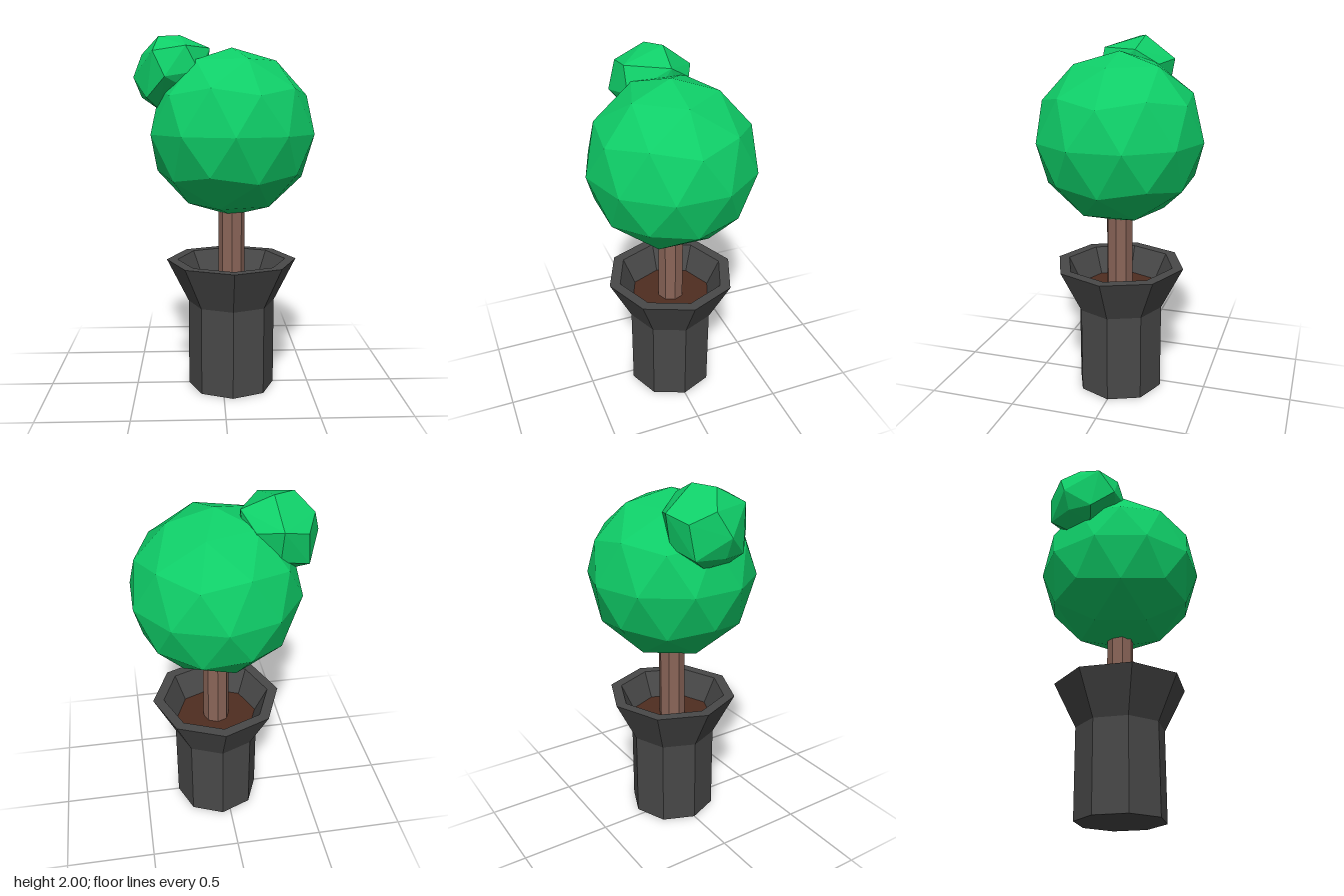
import * as THREE from 'three';
import { ConvexGeometry } from 'three/addons/geometries/ConvexGeometry.js';

const AXIS_X = 0.05; // the trunk and pot stand slightly off centre

function material(name, color) {
  const m = new THREE.MeshStandardMaterial({ color });
  m.name = name;
  return m;
}

// one normal per face, for the faceted look
function faceted(geometry) {
  const g = geometry.index ? geometry.toNonIndexed() : geometry;
  g.computeVertexNormals();
  return g;
}

export function createModel() {
  const model = new THREE.Group();
  model.name = 'pottedTree';

  const leafGreen = material('leafGreen', 0x0fce68);
  const barkBrown = material('barkBrown', 0x8a6558);
  const potGrey = material('potGrey', 0x484848);
  const soilBrown = material('soilBrown', 0x4f2d20);

  function add(name, geometry, mat, x = 0, y = 0) {
    const mesh = new THREE.Mesh(faceted(geometry), mat);
    mesh.name = name;
    mesh.position.set(x, y, 0);
    model.add(mesh);
  }

  // pot: straight octagonal body, flared neck, rim and sloping inside wall
  const potProfile = [
    [0, 0], [0.247, 0], [0.247, 0.5], [0.37, 0.745], [0.308, 0.745], [0.228, 0.585],
  ].map(([r, y]) => new THREE.Vector2(r, y));
  add('pot', new THREE.LatheGeometry(potProfile, 8), potGrey, AXIS_X);

  // soil
  add('soil', new THREE.CylinderGeometry(0.235, 0.229, 0.012, 8), soilBrown, AXIS_X, 0.594);

  // trunk
  add('trunk', new THREE.CylinderGeometry(0.075, 0.075, 0.5, 8), barkBrown, AXIS_X, 0.83);

  // main crown, turned so that one corner points straight up
  const crown = new THREE.IcosahedronGeometry(0.465, 1);
  crown.rotateZ(-Math.atan(2 / (1 + Math.sqrt(5))));
  add('crown', crown, leafGreen, AXIS_X, 1.465);

  // small irregular clump on the upper right of the crown
  const clumpCorners = [
    [-0.35, 1.99, 0], [-0.235, 2, -0.065], [-0.375, 1.905, 0.16], [-0.2, 1.932, 0.165],
    [-0.447, 1.895, -0.065], [-0.39, 1.837, -0.185], [-0.255, 1.873, -0.23],
    [-0.07, 1.93, -0.05], [-0.13, 1.85, -0.17], [-0.49, 1.77, 0], [-0.31, 1.77, 0.22],
    [-0.13, 1.8, 0.17], [-0.41, 1.66, -0.16], [-0.41, 1.66, 0.13], [-0.445, 1.66, 0],
    [-0.35, 1.59, -0.06], [-0.35, 1.6, 0.08], [-0.25, 1.7, -0.2],
    [-0.1, 1.66, 0.1], [-0.1, 1.66, -0.1],
  ].map((p) => new THREE.Vector3(...p));
  add('smallClump', new ConvexGeometry(clumpCorners), leafGreen);

  return model;
}
